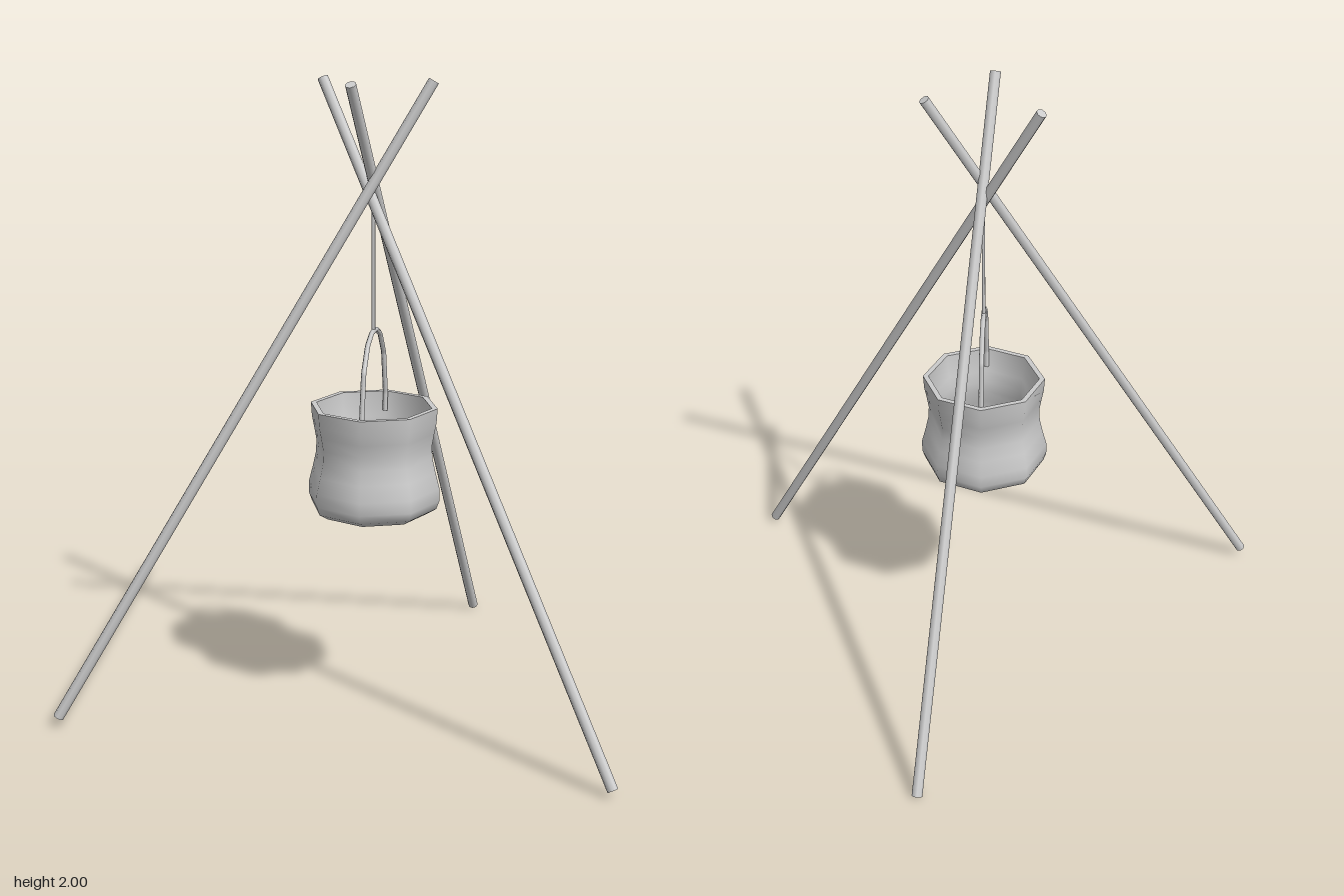
import * as THREE from 'three';

const POT_X = 0.05, POT_Z = 0.205;

export function createModel() {
  const model = new THREE.Group();
  model.name = 'campfireTripod';
  const mat = new THREE.MeshStandardMaterial({ color: 0xcccccc });
  const add = (name, geo, parent = model) => {
    const mesh = new THREE.Mesh(geo, mat);
    mesh.name = name;
    parent.add(mesh);
    return mesh;
  };

  // Round rod between two points
  const rod = (name, from, to, radius, sides) => {
    const a = new THREE.Vector3(...from), b = new THREE.Vector3(...to);
    const dir = b.clone().sub(a);
    const mesh = add(name, new THREE.CylinderGeometry(radius, radius, dir.length(), sides));
    mesh.position.copy(a).add(b).multiplyScalar(0.5);
    mesh.quaternion.setFromUnitVectors(new THREE.Vector3(0, 1, 0), dir.normalize());
  };

  // Three crossed poles
  rod('rightPole', [-0.87, 0.035, 0.595], [0.225, 1.985, 0.175], 0.017, 8);
  rod('leftPole', [0.865, 0.025, 0.725], [-0.13, 1.98, 0.105], 0.017, 8);
  rod('backPole', [0.217, 0.01, -0.727], [0.02, 1.99, 0.385], 0.017, 8);

  // Hanging line from the crossing to the handle
  rod('hangingLine', [POT_X, 1.225, POT_Z + 0.005], [POT_X, 1.66, POT_Z + 0.005], 0.006, 6);

  // Eight-sided pot: outer wall, rim, inner wall and base as separate sheets
  const pot = new THREE.Group();
  pot.name = 'pot';
  pot.position.set(POT_X, 0, POT_Z);
  model.add(pot);
  const outer = [[0.168, 0.65], [0.198, 0.668], [0.208, 0.695], [0.208, 0.735], [0.195, 0.785],
    [0.185, 0.83], [0.183, 0.87], [0.19, 0.91], [0.197, 0.945], [0.2, 0.99]];
  const inner = outer.map(([r, y], i) => [r - 0.018, i === 0 ? y + 0.018 : y]).reverse();
  inner[inner.length - 2][1] += 0.012;
  const lathe = (name, pts) =>
    add(name, new THREE.LatheGeometry(pts.map(p => new THREE.Vector2(...p)), 8), pot);
  lathe('potWall', outer);
  lathe('potRim', [[0.2, 0.99], [0.182, 0.99]]);
  lathe('potInside', inner);
  lathe('potFloor', [[0.15, 0.668], [0, 0.668]]);
  lathe('potBase', [[0, 0.65], [0.168, 0.65]]);

  // Arched wire handle, running front to back with straight segments
  const half = [[0.168, 0.93], [0.172, 0.99], [0.145, 1.125], [0.09, 1.198], [0.03, 1.225]];
  const arch = [...half, ...half.map(([z, y]) => [-z, y]).reverse()]
    .map(([z, y]) => new THREE.Vector3(0, y, z));
  const path = new THREE.CurvePath();
  for (let i = 1; i < arch.length; i++) path.add(new THREE.LineCurve3(arch[i - 1], arch[i]));
  add('handle', new THREE.TubeGeometry(path, 60, 0.008, 6), pot);

  return model;
}
